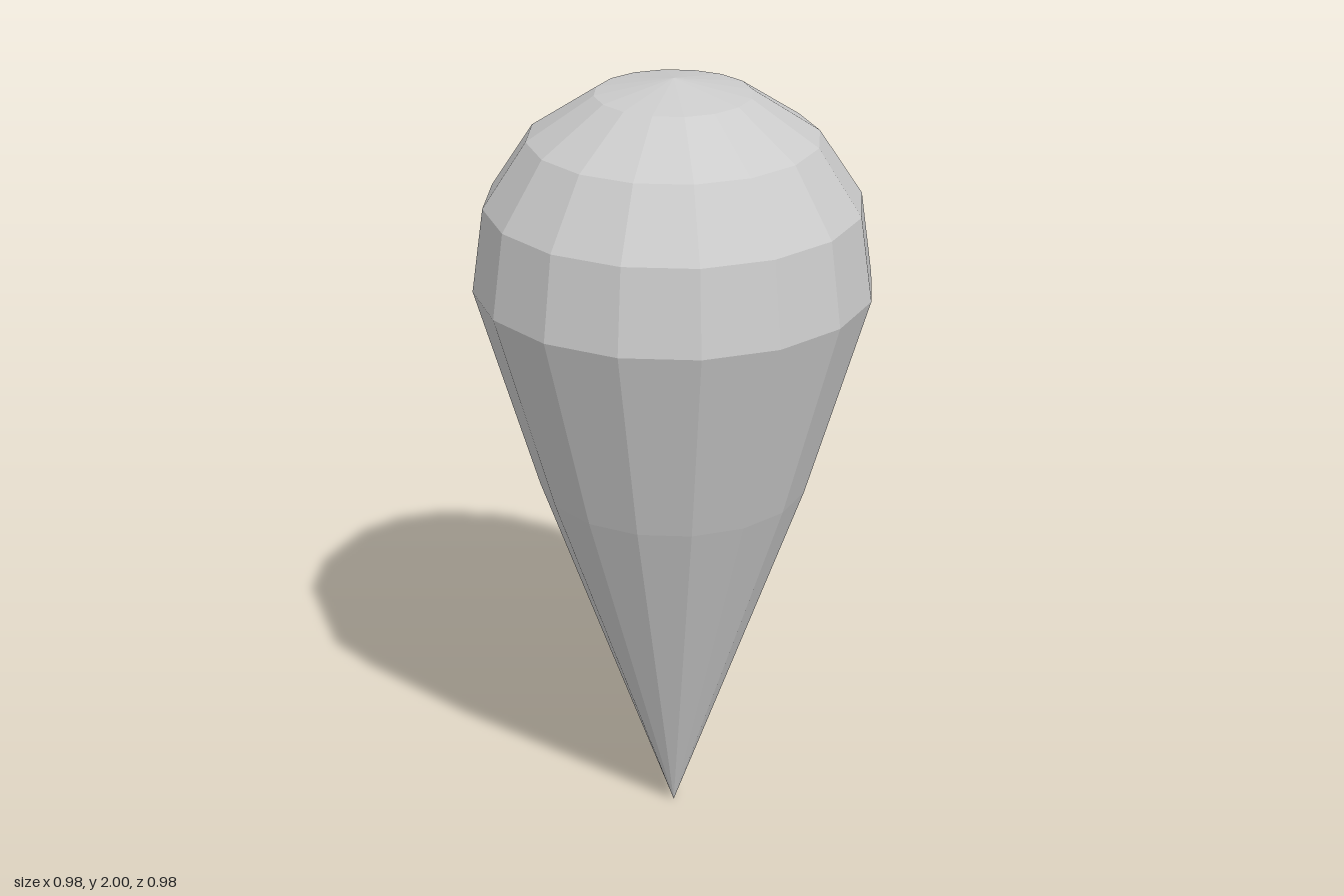
import * as THREE from 'three';

const SIDES = 16;

// Faceted surface of revolution from [radius, height] pairs, listed bottom to top
function turned(name, profile, material) {
  const points = profile.map(([r, y]) => new THREE.Vector2(r, y));
  const mesh = new THREE.Mesh(new THREE.LatheGeometry(points, SIDES), material);
  mesh.name = name;
  return mesh;
}

export function createModel() {
  const group = new THREE.Group();
  group.name = 'taperedDrop';
  const material = new THREE.MeshStandardMaterial({ color: 0xcccccc, flatShading: true });

  // Pointed lower body, slightly bulged part-way up
  group.add(turned('cone', [[0, 0], [0.337, 0.96], [0.49, 1.485]], material));

  // Rounded cap meeting the cone at its widest ring
  group.add(turned('dome', [[0.49, 1.485], [0.46, 1.695], [0.353, 1.857], [0.19, 1.964], [0, 2]], material));

  return group;
}
